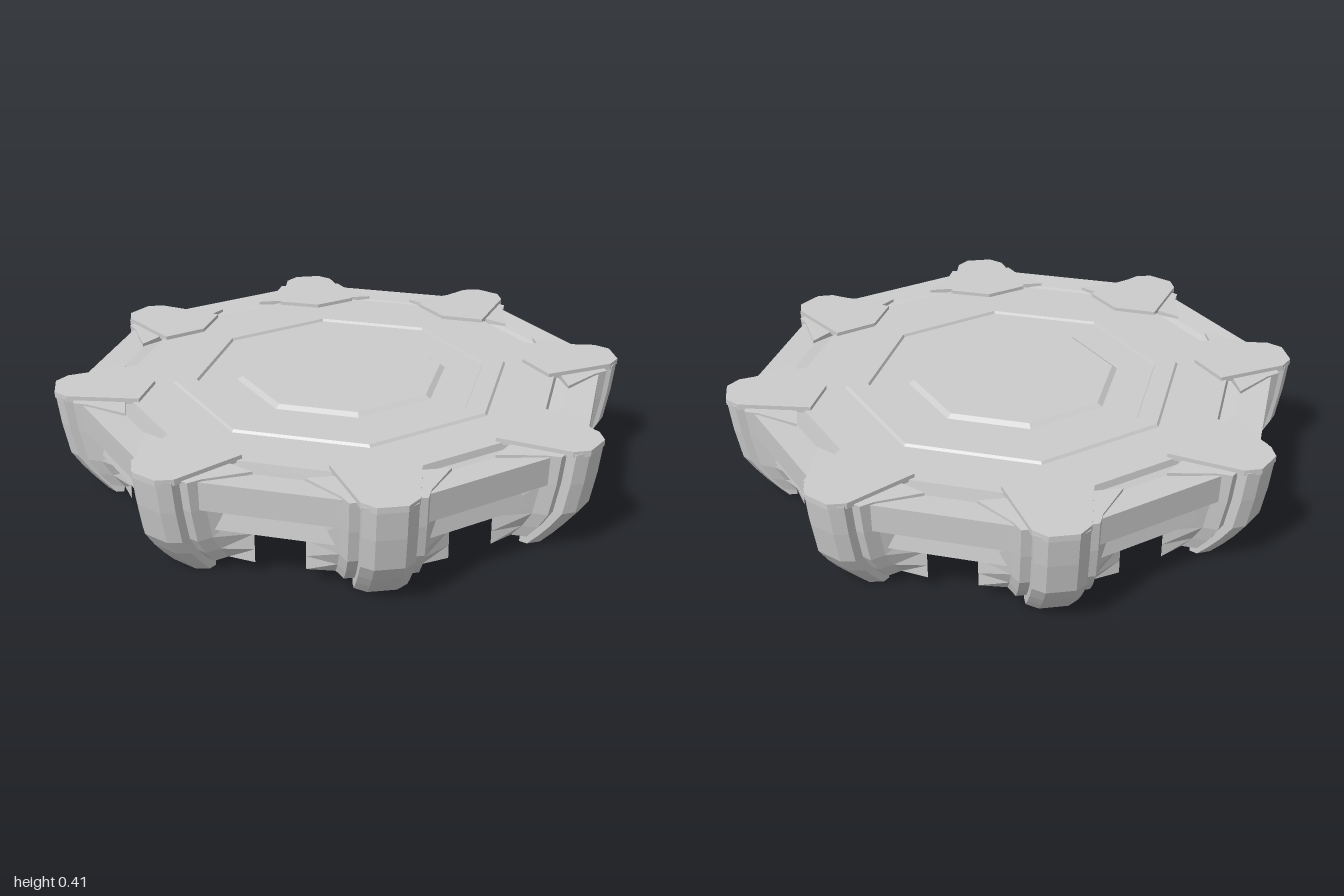
import * as THREE from 'three';

const material = new THREE.MeshStandardMaterial({ color: 0xcccccc, flatShading: true });

// Octagonal solid from [apothem, y] points, listed from the bottom centre to the top centre.
function octagon(profile) {
  const k = 1 / Math.cos(Math.PI / 8);
  const points = profile.map(([a, y]) => new THREE.Vector2(a * k, y));
  return new THREE.LatheGeometry(points, 8, Math.PI / 8, Math.PI * 2);
}

// Mirrors half a cross-section, [half width, reach] from inner end to tip.
function mirrored(half) {
  const left = half.filter(([w]) => w > 0).map(([w, r]) => [-w, r]);
  return [...left, ...[...half].reverse()];
}

// Closed loft through half cross-sections stacked from bottom to top.
function loft(levels) {
  const rings = levels.map(({ y, half }) => mirrored(half).map(([w, r]) => [w, y, r]));
  const n = rings[0].length;
  const position = rings.flat(2);
  const index = [];
  for (let i = 0; i < rings.length - 1; i++) {
    for (let j = 0; j < n; j++) {
      const a = i * n + j, b = i * n + (j + 1) % n;
      index.push(a, b, b + n, a, b + n, a + n);
    }
  }
  // End caps, each triangle turned to face outwards
  for (const [start, up] of [[0, false], [(rings.length - 1) * n, true]]) {
    const outline = rings[start / n].map(([x, , z]) => new THREE.Vector2(x, z));
    for (const [a, b, c] of THREE.ShapeUtils.triangulateShape(outline, [])) {
      const p = outline[a], q = outline[b], s = outline[c];
      const facesUp = (q.y - p.y) * (s.x - p.x) - (q.x - p.x) * (s.y - p.y) > 0;
      if (facesUp === up) index.push(start + a, start + b, start + c);
      else index.push(start + a, start + c, start + b);
    }
  }
  const geometry = new THREE.BufferGeometry();
  geometry.setAttribute('position', new THREE.Float32BufferAttribute(position, 3));
  geometry.setIndex(index);
  const flat = geometry.toNonIndexed();
  flat.computeVertexNormals();
  return flat;
}

function part(name, geometry) {
  const mesh = new THREE.Mesh(geometry, material);
  mesh.name = name;
  return mesh;
}

export function createModel() {
  const model = new THREE.Group();
  model.name = 'octagonalPlatform';

  // Deck: stepped rim with an undercut, raised ring and raised centre
  model.add(part('deck', octagon([
    [0, 0.19], [0.895, 0.19], [0.885, 0.265], [0.935, 0.28], [0.94, 0.385],
    [0.835, 0.38], [0.785, 0.368], [0.78, 0.393],
    [0.585, 0.393], [0.578, 0.402], [0.505, 0.402], [0.5, 0.392],
    [0.366, 0.392], [0.348, 0.405], [0, 0.405],
  ])));

  // Wide bracket: fixed inner corners, outer face curving in towards the bottom
  const bracket = loft([[0.05, 0.11], [0.1, 0.07], [0.16, 0.035], [0.28, 0.012], [0.392, 0]]
    .map(([y, s]) => ({
      y, half: [[0.24, 0.81], [0.145, 0.945 - s], [0.125, 0.995 - s]],
    })));

  // Outer spine with chamfered edges, running down into the foot
  const spine = loft([[0, 0.16, 0.84], [0.05, 0.115, 0.84], [0.1, 0.075, 0.82], [0.16, 0.035, 0.82],
    [0.28, 0.013, 0.82], [0.395, 0, 0.82]]
    .map(([y, s, back]) => ({
      y, half: [[0.09, back], [0.09, 1.03 - s], [0.05, 1.06 - s]],
    })));

  // Pointed plate covering the top of each leg
  const plateHalf = [[0, 0.7], [0.155, 0.76], [0.095, 1.02], [0.05, 1.063]];
  const plate = loft([{ y: 0.385, half: plateHalf }, { y: 0.407, half: plateHalf }]);

  // One leg on every corner
  for (let i = 0; i < 8; i++) {
    const leg = new THREE.Group();
    leg.name = `leg${i + 1}`;
    leg.add(part('legBracket', bracket), part('legSpine', spine), part('legTopPlate', plate));
    leg.rotation.y = Math.PI / 8 + i * Math.PI / 4;
    model.add(leg);
  }
  return model;
}
